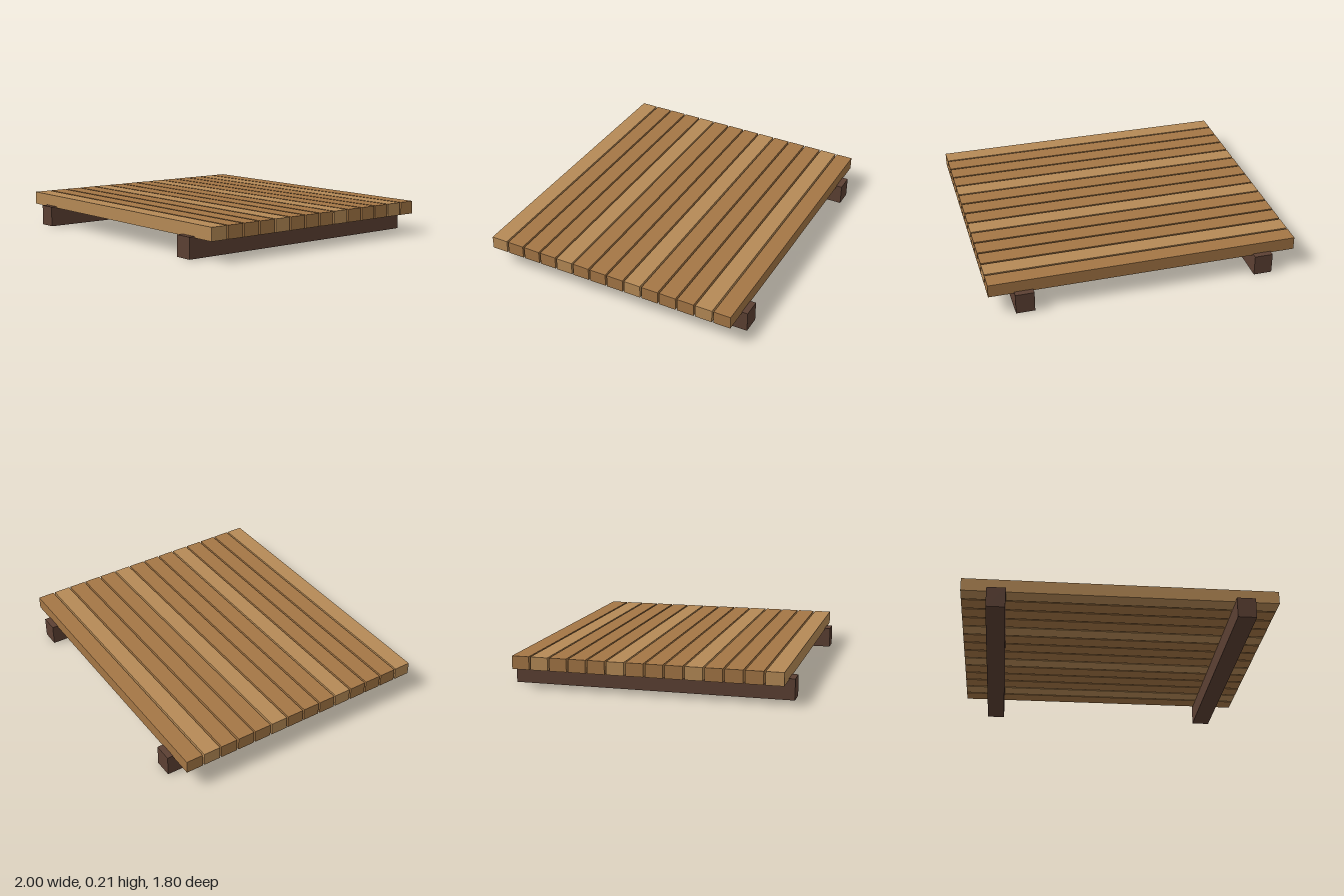
import * as THREE from 'three';

export function createModel() {
  const model = new THREE.Group();
  model.name = 'slattedPlatform';

  const beamWood = new THREE.MeshStandardMaterial({ color: 0x5c4033 });
  const darkWood = new THREE.MeshStandardMaterial({ color: 0xa47645 });
  const lightWood = new THREE.MeshStandardMaterial({ color: 0xb68a56 });

  function addBox(name, geometry, material, x, y, z) {
    const mesh = new THREE.Mesh(geometry, material);
    mesh.name = name;
    mesh.position.set(x, y, z);
    model.add(mesh);
  }

  // Two support beams running front to back
  const beamHeight = 0.134;
  const beam = new THREE.BoxGeometry(0.12, beamHeight, 1.8);
  addBox('leftBeam', beam, beamWood, 0.78, beamHeight / 2, 0);
  addBox('rightBeam', beam, beamWood, -0.78, beamHeight / 2, 0);

  // Slats from back to front, let slightly into the beams; every fourth is lighter
  const count = 14;
  const pitch = 0.1238;
  const slat = new THREE.BoxGeometry(2, 0.084, 0.112);
  for (let i = 0; i < count; i++) {
    const z = (i - (count - 1) / 2) * pitch;
    addBox(`slat${i + 1}`, slat, i % 4 === 1 ? lightWood : darkWood, 0, 0.167, z);
  }

  return model;
}
